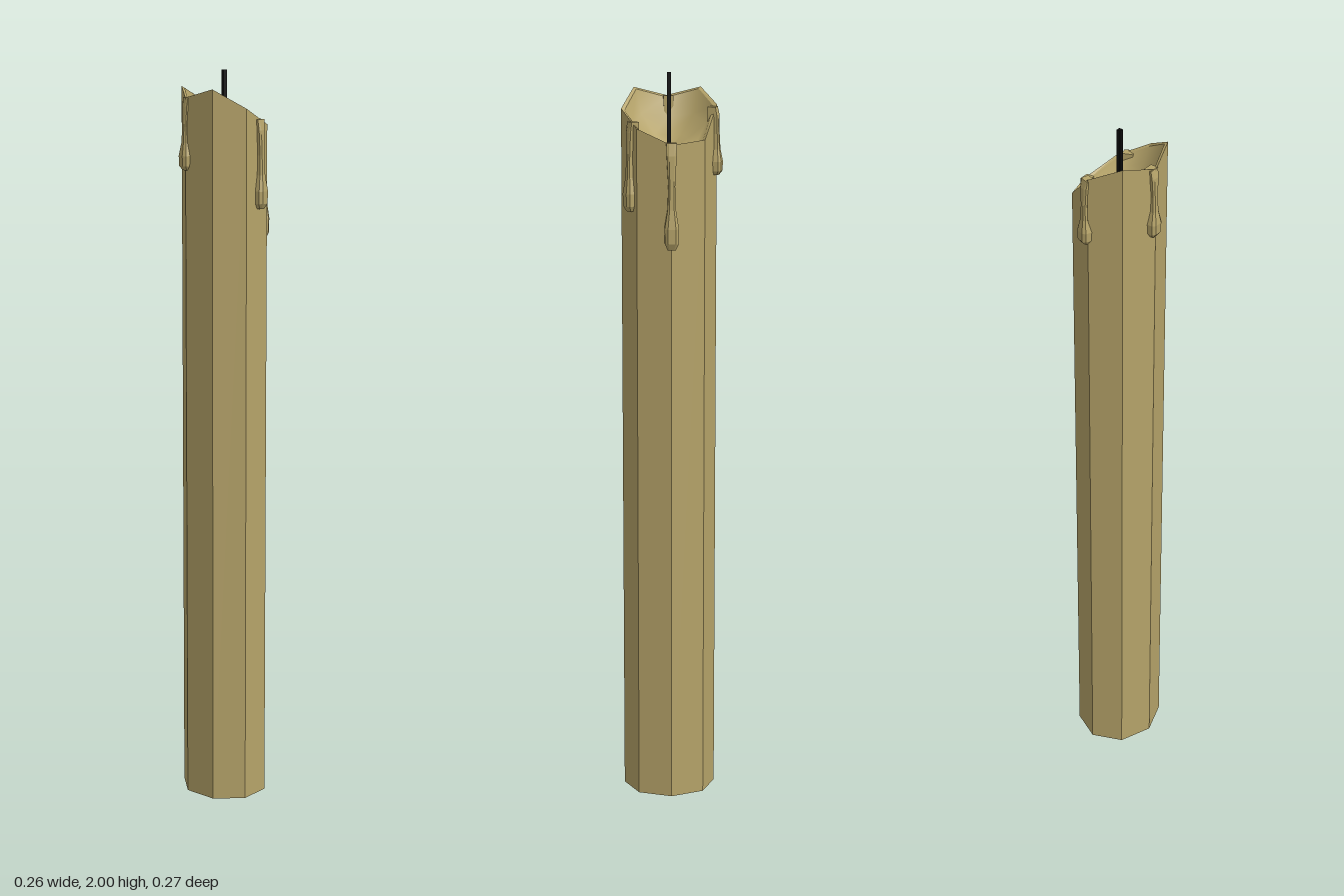
import * as THREE from 'three';

const wax = new THREE.MeshStandardMaterial({ color: 0xb5a369, flatShading: true });
const smoothWax = new THREE.MeshStandardMaterial({ color: 0xb5a369 });
const wickMat = new THREE.MeshStandardMaterial({ color: 0x0a0a0a, flatShading: true });

const CX = -0.003, CZ = 0.006, RX = 0.115, RZ = 0.127, SIDES = 8;
// Rim heights, starting at +x and turning towards +z
const RIM = [1.82, 1.86, 1.905, 1.955, 1.93, 1.955, 1.915, 1.83];

// Skin a stack of closed rings; rings are ordered so that the faces look outwards
function loft(rings, capStart, capEnd) {
  const n = rings[0].length, pos = rings.flat(2), index = [];
  for (let r = 0; r < rings.length - 1; r++) {
    for (let i = 0; i < n; i++) {
      const a = r * n + i, b = r * n + (i + 1) % n;
      index.push(a, a + n, b, b, a + n, b + n);
    }
  }
  const last = (rings.length - 1) * n;
  for (let i = 1; i < n - 1; i++) {
    if (capStart) index.push(0, i, i + 1);
    if (capEnd) index.push(last, last + i + 1, last + i);
  }
  const g = new THREE.BufferGeometry();
  g.setAttribute('position', new THREE.Float32BufferAttribute(pos, 3));
  g.setIndex(index);
  g.computeVertexNormals();
  return g;
}

// Octagonal ring of the candle: scale from the axis, height per corner
function ring(scale, height) {
  return RIM.map((h, i) => {
    const a = (i / SIDES) * Math.PI * 2;
    return [CX + Math.cos(a) * RX * scale, height(h), CZ + Math.sin(a) * RZ * scale];
  });
}

// Drip profile: [fraction of length, half width, how far it stands out]
const DRIP = [
  [0, 0.014, 0.002], [0.12, 0.013, 0.008], [0.4, 0.009, 0.009], [0.62, 0.011, 0.011],
  [0.8, 0.019, 0.017], [0.94, 0.018, 0.016], [1, 0.011, 0.008],
];

function drip(name, x, z, angle, top, length) {
  const rings = DRIP.map(([t, w, d]) => {
    const y = -t * length;
    return [[-w, y, -0.02], [-w, y, d * 0.6], [-w * 0.55, y, d],
      [w * 0.55, y, d], [w, y, d * 0.6], [w, y, -0.02]];
  }).reverse();
  // Sections run left to right across the front, so flip them to face outwards
  rings.forEach((r) => r.reverse());
  const mesh = new THREE.Mesh(loft(rings, true, true), wax);
  mesh.name = name;
  mesh.position.set(x, top, z);
  mesh.rotation.y = angle;
  return mesh;
}

export function createModel() {
  const group = new THREE.Group();
  group.name = 'candle';
  const add = (name, geometry, material) => {
    const mesh = new THREE.Mesh(geometry, material);
    mesh.name = name;
    group.add(mesh);
    return mesh;
  };

  // Faceted column with a thin uneven lip
  add('candleBody', loft([ring(1, () => 0), ring(1, (h) => h), ring(0.93, (h) => h - 0.005)], true, false), wax);

  // Hollow melted down towards the wick
  add('meltedHollow', loft([
    ring(0.93, (h) => h - 0.005),
    ring(0.77, (h) => 1.835 + (h - 1.835) * 0.5 - 0.01),
    ring(0.4, (h) => 1.815 + (h - 1.835) * 0.15),
    ring(0.02, () => 1.80),
  ], false, true), smoothWax);

  // Wick
  const wick = add('wick', new THREE.BoxGeometry(0.011, 0.21, 0.011), wickMat);
  wick.position.set(CX, 1.895, CZ);

  // Wax drips running down the outside
  group.add(
    drip('leftDrip', 0.112, 0.006, Math.PI / 2, 1.825, 0.28),
    drip('frontDrip', 0.05, 0.112, 0.42, 1.875, 0.235),
    drip('rightDrip', -0.114, 0.002, -Math.PI / 2, 1.93, 0.19),
    drip('backDrip', 0.008, -0.118, Math.PI - 0.3, 1.91, 0.18),
  );
  return group;
}
